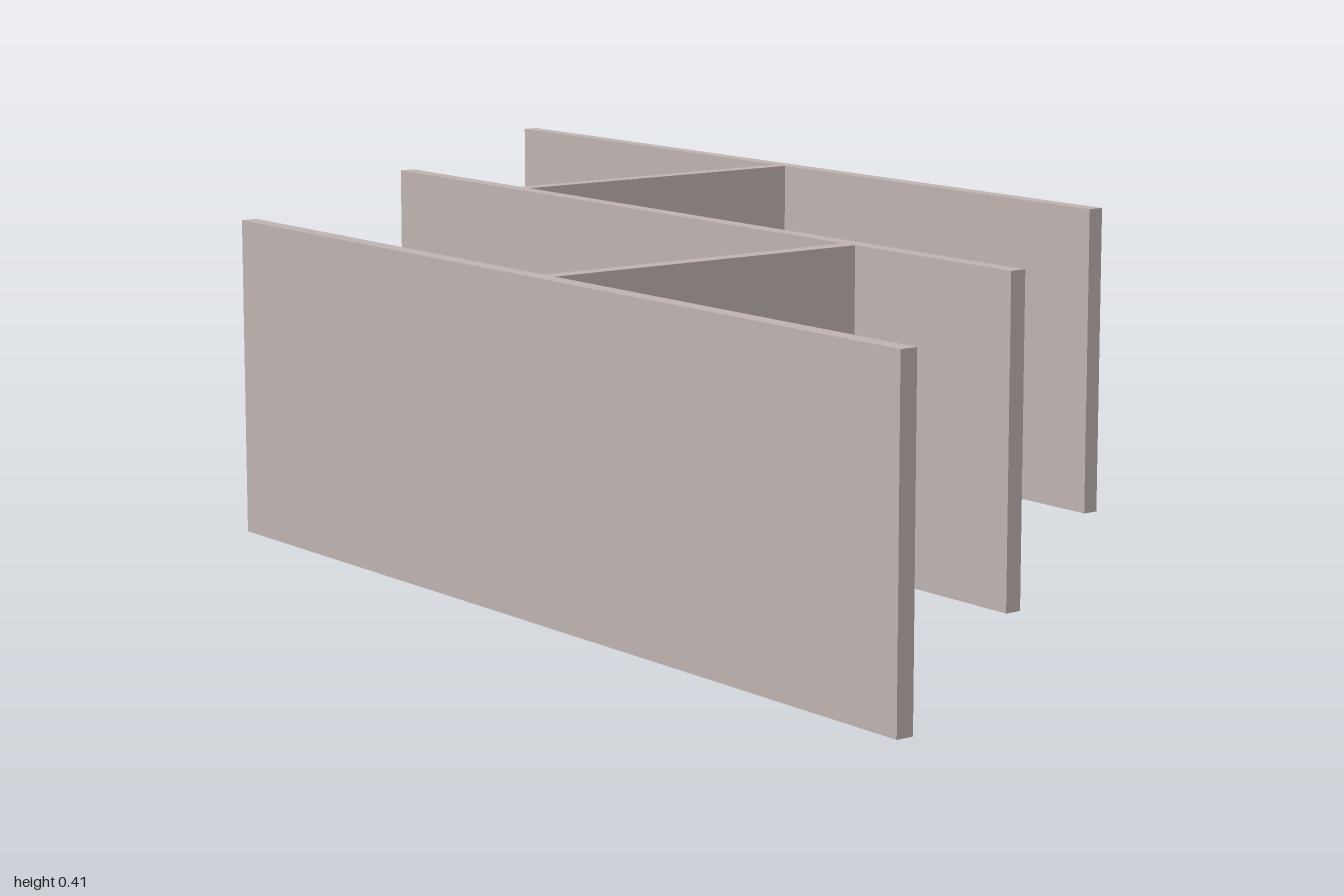
import * as THREE from 'three';

export function createModel() {
  const group = new THREE.Group();
  const material = new THREE.MeshStandardMaterial({ color: 0xbfb3b1 });
  material.name = 'warm grey';
  const height = 0.405;

  // Upright slab given by its footprint limits
  function slab(name, x0, x1, z0, z1) {
    const mesh = new THREE.Mesh(new THREE.BoxGeometry(x1 - x0, height, z1 - z0), material);
    mesh.position.set((x0 + x1) / 2, height / 2, (z0 + z1) / 2);
    mesh.name = name;
    group.add(mesh);
  }

  // Three staggered long panels
  slab('backPanel', -1, 0.285, -0.48, -0.458);
  slab('middlePanel', -0.635, 0.65, -0.01, 0.012);
  slab('frontPanel', -0.287, 1, 0.458, 0.48);

  // Cross walls joining neighbouring panels
  slab('backWeb', -0.37, -0.348, -0.458, -0.01);
  slab('frontWeb', 0.348, 0.37, 0.012, 0.458);

  return group;
}
